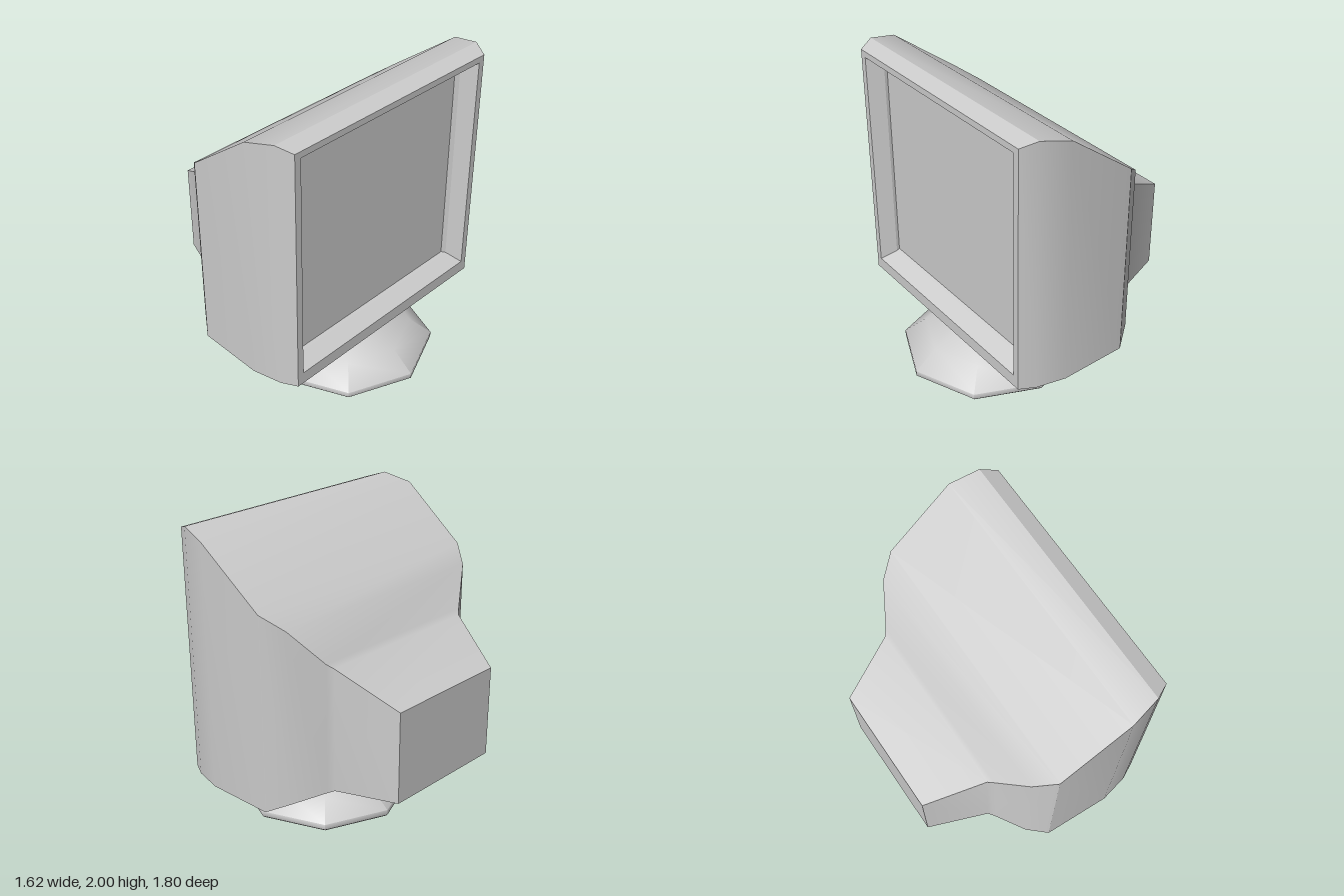
import * as THREE from 'three';
import { toCreasedNormals } from 'three/addons/utils/BufferGeometryUtils.js';

const grey = new THREE.MeshStandardMaterial({ color: 0xcccccc });

// Skin a row of rectangles standing across x: [x, bottom, top, zMin, zMax]
function loftRects(sections, { backCap = false, frontCap = false } = {}) {
  const positions = [];
  const index = [];
  for (const [x, y0, y1, z0, z1] of sections) {
    positions.push(x, y0, z0, x, y1, z0, x, y1, z1, x, y0, z1);
  }
  const quad = (a, b, c, d) => index.push(a, b, c, a, c, d);
  for (let i = 0; i < sections.length - 1; i++) {
    for (let k = 0; k < 4; k++) {
      const n = (k + 1) % 4;
      quad(i * 4 + k, i * 4 + n, i * 4 + 4 + n, i * 4 + 4 + k);
    }
  }
  const last = (sections.length - 1) * 4;
  if (backCap) quad(3, 2, 1, 0);
  if (frontCap) quad(last, last + 1, last + 2, last + 3);
  const geometry = new THREE.BufferGeometry();
  geometry.setAttribute('position', new THREE.Float32BufferAttribute(positions, 3));
  geometry.setIndex(index);
  return toCreasedNormals(geometry, THREE.MathUtils.degToRad(30));
}

function addPart(group, name, geometry) {
  const mesh = new THREE.Mesh(geometry, grey);
  mesh.name = name;
  group.add(mesh);
  return mesh;
}

export function createModel() {
  const model = new THREE.Group();
  model.name = 'monitor';

  // Housing, from the tube box at the back to the front rim: x, bottom, top, half width
  const housing = [
    [-0.81, 0.49, 1.09, 0.42],
    [-0.43, 0.48, 1.29, 0.565],
    [-0.40, 0.468, 1.32, 0.60],
    [-0.275, 0.415, 1.54, 0.785],
    [-0.15, 0.35, 1.632, 0.88],
    [0.30, 0.35, 1.96, 0.90],
    [0.49, 0.35, 2.0, 0.86],
    [0.59, 0.35, 1.965, 0.81],
  ].map(([x, y0, y1, w]) => [x, y0, y1, -w, w]);
  addPart(model, 'housing', loftRects(housing, { backCap: true }));

  // Flat front frame and the slope down to the screen
  const rim = housing[housing.length - 1];
  const opening = [0.59, 0.43, 1.925, -0.765, 0.765];
  const innerEdge = [0.49, 0.483, 1.87, -0.715, 0.715];
  addPart(model, 'bezel', loftRects([rim, opening, innerEdge]));

  // Screen with a narrow step at its edge
  const glass = [0.47, 0.492, 1.87, -0.69, 0.715];
  addPart(model, 'screen', loftRects([innerEdge, glass], { frontCap: true }));

  // Eight-sided stand: foot disc, sloping dome and neck
  const profile = [
    [0, 0], [0.565, 0], [0.58, 0.015], [0.58, 0.05],
    [0.43, 0.168], [0.207, 0.245], [0.207, 0.36],
  ].map(([r, y]) => new THREE.Vector2(r, y));
  const stand = toCreasedNormals(new THREE.LatheGeometry(profile, 8), THREE.MathUtils.degToRad(50));
  addPart(model, 'stand', stand).position.x = 0.227;

  return model;
}
